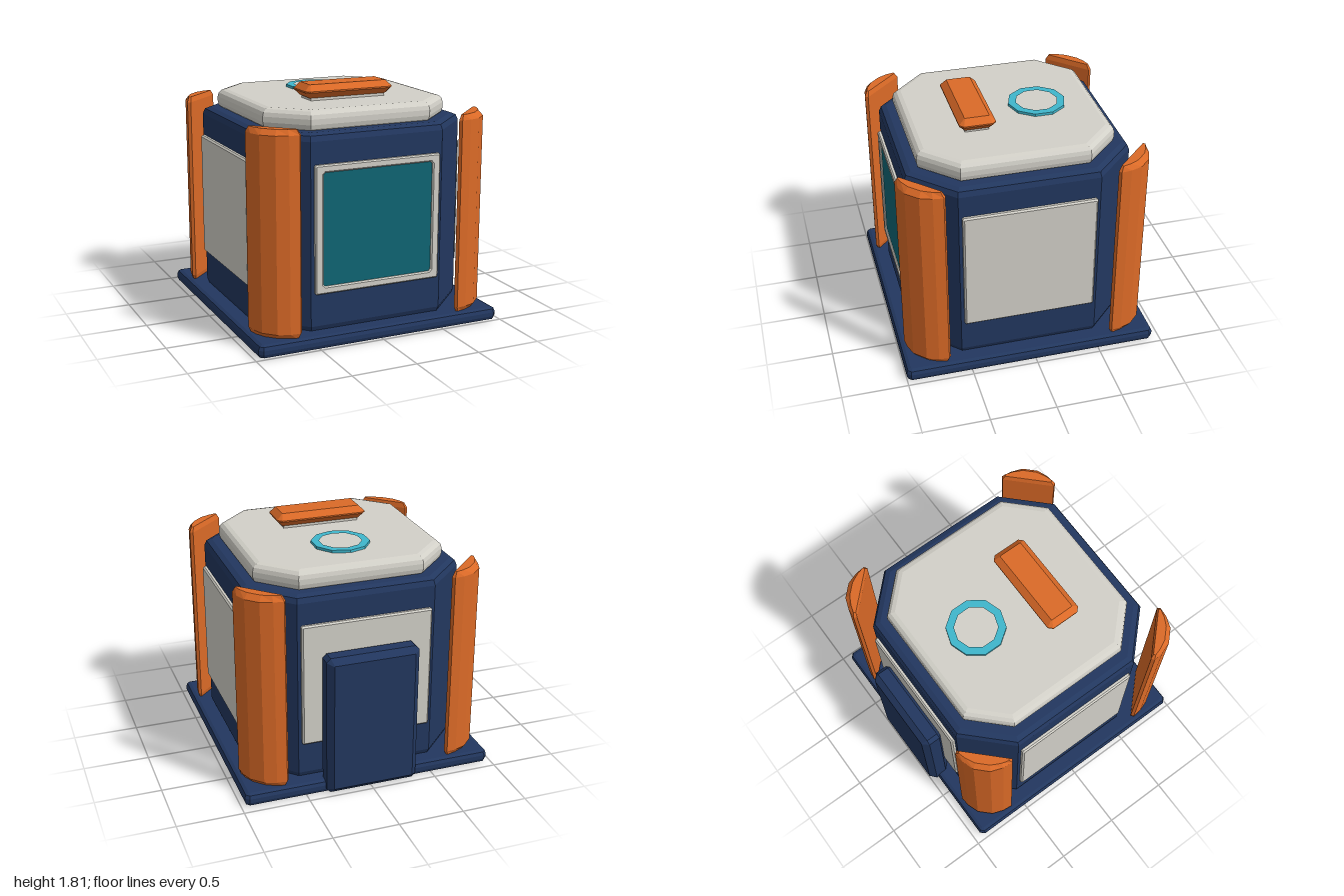
import * as THREE from 'three';

const Z0 = 0.03; // centre of the main block

const paint = (name, color) => {
  const m = new THREE.MeshStandardMaterial({ color });
  m.name = name;
  return m;
};

// Rectangle with cut corners, as a point list
function cutRect(hw, hh, c) {
  return [[hw - c, -hh], [hw, -hh + c], [hw, hh - c], [hw - c, hh],
    [-hw + c, hh], [-hw, hh - c], [-hw, -hh + c], [-hw + c, -hh]];
}
const toShape = (pts) => new THREE.Shape(pts.map(([x, y]) => new THREE.Vector2(x, y)));

// Bevelled prism from z = 0 to z = depth, the outline being its widest section
function slab(shape, depth, bevel, segments = 2) {
  const g = new THREE.ExtrudeGeometry(shape, {
    depth: depth - 2 * bevel, bevelThickness: bevel, bevelSize: bevel,
    bevelOffset: -bevel, bevelSegments: segments, curveSegments: 4,
  });
  return g.translate(0, 0, bevel);
}
const upright = (g, y) => g.rotateX(-Math.PI / 2).translate(0, y, 0);

// Curved corner guard with tapered ends
function guardGeometry() {
  const inner = 1.085;
  const half = [[0.2, inner], [0.205, 1.112], [0.145, 1.16], [0.06, 1.2]];
  const outline = [...half, ...half.map(([t, r]) => [-t, r]).reverse()];
  const g = new THREE.ExtrudeGeometry(toShape(outline), { depth: 3, steps: 3, bevelEnabled: false });
  const levels = [0.09, 0.135, 1.57, 1.61];
  const p = g.attributes.position;
  for (let i = 0; i < p.count; i++) {
    const k = Math.round(p.getZ(i));
    const end = k === 0 || k === 3;
    const t = p.getX(i) * (end ? 0.88 : 1);
    const r = end ? inner + 0.01 + (p.getY(i) - inner) * 0.6 : p.getY(i);
    p.setXYZ(i, t, r, levels[k]);
  }
  g.computeVertexNormals();
  return g.rotateX(-Math.PI / 2);
}

export function createModel() {
  const navy = paint('navy', 0x22375f);
  const orange = paint('orange', 0xdb6a27);
  const light = paint('lightGrey', 0xd2d0c8);
  const teal = paint('teal', 0x0f6674);
  const cyan = paint('cyan', 0x3fb6cc);

  const model = new THREE.Group();
  model.name = 'storageModule';
  const add = (name, geometry, material, x = 0, y = 0, z = 0, parent = model) => {
    const mesh = new THREE.Mesh(geometry, material);
    mesh.name = name;
    mesh.position.set(x, y, z);
    parent.add(mesh);
    return mesh;
  };

  // Base plate, body and roof
  add('base', upright(slab(toShape(cutRect(0.97, 0.97, 0.03)), 0.1, 0.035), 0), navy, 0, 0, Z0);
  add('body', upright(slab(toShape(cutRect(0.845, 0.845, 0.32)), 1.47, 0.055), 0.08), navy, 0, 0, Z0);
  add('roof', upright(slab(toShape(cutRect(0.735, 0.74, 0.26)), 0.16, 0.06, 3), 1.53), light, 0, 0, Z0);

  // Corner guards
  const guard = guardGeometry();
  for (let i = 0; i < 4; i++) {
    add('cornerGuard', guard, orange, 0, 0, Z0).rotation.y = Math.PI / 4 + i * Math.PI / 2;
  }

  // Plain panels on the back and both sides
  const panel = slab(toShape(cutRect(0.5, 0.475, 0.01)), 0.05, 0.012, 1);
  for (let i = 1; i < 4; i++) {
    const side = new THREE.Group();
    side.name = 'panelSide';
    side.position.set(0, 0.855, Z0);
    side.rotation.y = i * Math.PI / 2;
    add('panel', panel, light, 0, 0, 0.825, side);
    model.add(side);
  }

  // Front window with its frame
  add('window', slab(toShape(cutRect(0.485, 0.46, 0.01)), 0.04, 0.008, 1), teal, 0, 0.855, Z0 + 0.818);
  const frame = toShape(cutRect(0.5, 0.475, 0.01));
  frame.holes.push(new THREE.Path(
    cutRect(0.437, 0.418, 0.015).reverse().map(([x, y]) => new THREE.Vector2(x, y))));
  add('windowFrame', slab(frame, 0.045, 0.01, 1), light, 0, 0.855, Z0 + 0.828);

  // Back unit
  add('backUnit', slab(toShape(cutRect(0.355, 0.55, 0.03)), 0.18, 0.045, 1), navy, 0, 0.56, -1);

  // Roof handle on its foot
  add('handleFoot', new THREE.BoxGeometry(0.6, 0.07, 0.18), light, 0, 1.695, 0.285);
  add('handle', upright(slab(toShape(cutRect(0.355, 0.137, 0.03)), 0.1, 0.045, 1), 1.71),
    orange, 0, 0, 0.285);

  // Ten-sided roof ring
  const circle = (r) => Array.from({ length: 10 }, (_, i) => {
    const a = i * Math.PI / 5;
    return [r * Math.sin(a), r * Math.cos(a)];
  });
  const ring = toShape(circle(0.22));
  ring.holes.push(new THREE.Path(circle(0.16).map(([x, y]) => new THREE.Vector2(x, y))));
  add('roofRing', upright(new THREE.ExtrudeGeometry(ring, { depth: 0.03, bevelEnabled: false }), 1.68),
    cyan, 0, 0, -0.25);

  return model;
}
